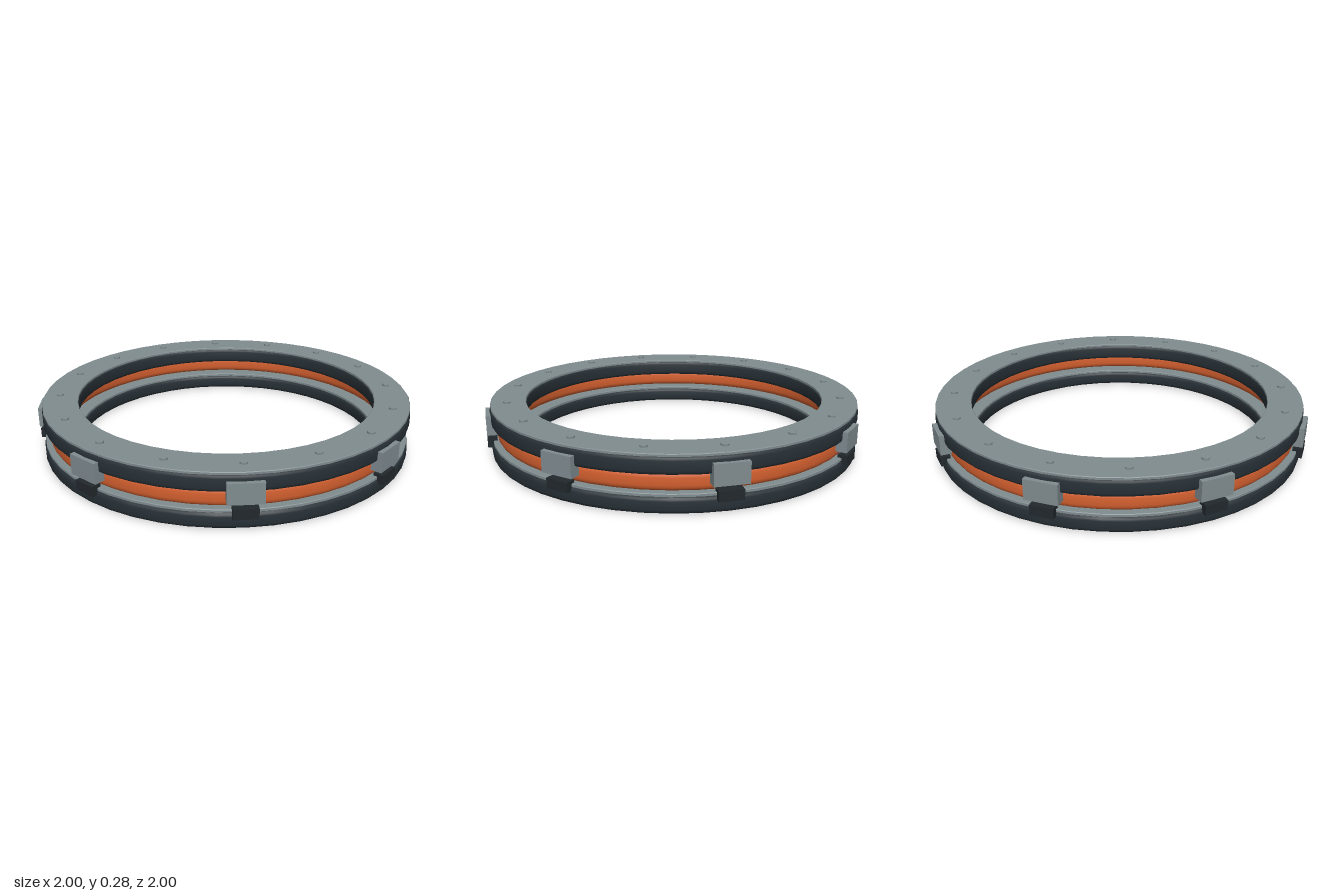
import * as THREE from 'three';
import { toCreasedNormals } from 'three/addons/utils/BufferGeometryUtils.js';

const SEGMENTS = 48;

function material(name, color) {
  const m = new THREE.MeshStandardMaterial({ color });
  m.name = name;
  return m;
}

// Ring with a rounded rectangular section, turned around the y axis
function ringGeometry(inner, outer, bottom, top, round, steps = 3) {
  const corners = [
    [outer - round, bottom + round, -90],
    [outer - round, top - round, 0],
    [inner + round, top - round, 90],
    [inner + round, bottom + round, 180],
  ];
  const points = [];
  for (const [r, y, start] of corners) {
    for (let i = 0; i <= steps; i++) {
      const a = THREE.MathUtils.degToRad(start + (90 * i) / steps);
      points.push(new THREE.Vector2(r + round * Math.cos(a), y + round * Math.sin(a)));
    }
  }
  points.push(points[0].clone());
  return toCreasedNormals(new THREE.LatheGeometry(points, SEGMENTS), 0.6);
}

export function createModel() {
  const grey = material('steel grey', 0x808c90);
  const dark = material('dark slate', 0x283137);
  const black = material('clip charcoal', 0x22282d);
  const orange = material('seal orange', 0xd4602f);

  const model = new THREE.Group();
  model.name = 'ringAssembly';

  const add = (name, geometry, mat, parent = model) => {
    const mesh = new THREE.Mesh(geometry, mat);
    mesh.name = name;
    parent.add(mesh);
    return mesh;
  };

  // Two dark rings, each capped with a thin plate
  add('lowerRing', ringGeometry(0.795, 0.98, 0, 0.08, 0.02), dark);
  add('lowerPlate', ringGeometry(0.797, 0.974, 0.077, 0.094, 0.003, 1), grey);
  add('upperRing', ringGeometry(0.795, 0.98, 0.177, 0.264, 0.02), dark);
  add('upperPlate', ringGeometry(0.793, 0.976, 0.258, 0.274, 0.003, 1), grey);

  // Seal between the rings
  add('seal', ringGeometry(0.865, 0.95, 0.09, 0.186, 0.03, 4), orange);

  // Bolts on the upper plate
  const boltGeometry = new THREE.CylinderGeometry(0.019, 0.019, 0.02, 10);
  for (let i = 0; i < 16; i++) {
    const a = (i * Math.PI) / 8;
    add('bolt', boltGeometry, grey).position.set(0.89 * Math.sin(a), 0.273, 0.89 * Math.cos(a));
  }

  // Eight latches around the outside: a bracket above a narrower clip
  const bracketGeometry = new THREE.BoxGeometry(0.165, 0.102, 0.055);
  const clipGeometry = new THREE.BoxGeometry(0.116, 0.05, 0.05);
  for (let i = 0; i < 8; i++) {
    const latch = new THREE.Group();
    latch.name = 'latch';
    latch.rotation.y = (i * Math.PI) / 4;
    add('bracket', bracketGeometry, grey, latch).position.set(0, 0.182, 0.9725);
    add('clip', clipGeometry, black, latch).position.set(0, 0.084, 0.975);
    model.add(latch);
  }

  return model;
}
